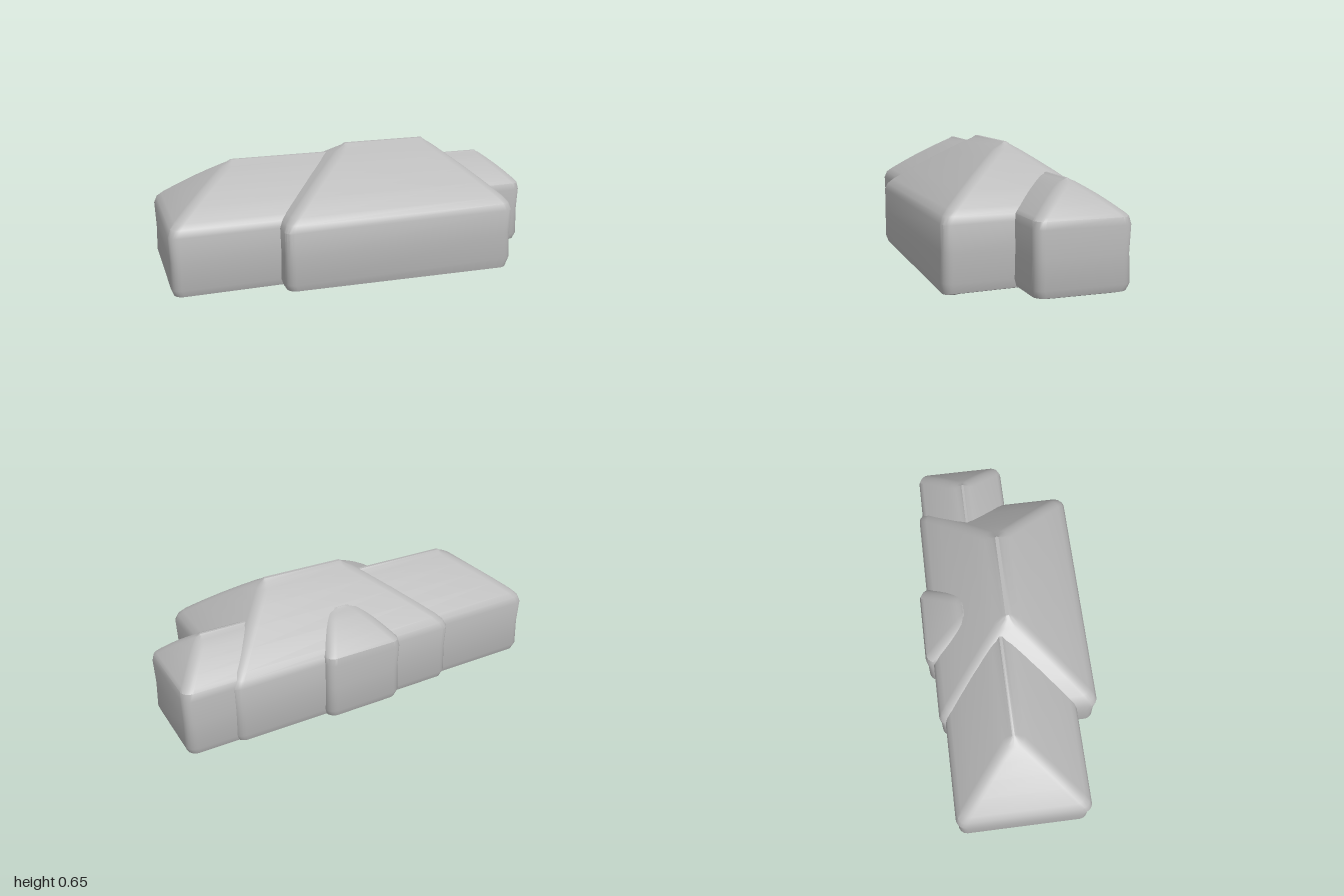
import * as THREE from 'three';
import { mergeVertices, toCreasedNormals } from 'three/addons/utils/BufferGeometryUtils.js';

const EAVE = 0.355, CORNER = 0.045, ARC = 5;

// Rounded rectangle outline, rect = [x0, x1, z0, z1]
function outline([x0, x1, z0, z1]) {
  const r = Math.max(0.001, Math.min(CORNER, (x1 - x0) / 2.1, (z1 - z0) / 2.1));
  const centres = [[x1 - r, z1 - r], [x0 + r, z1 - r], [x0 + r, z0 + r], [x1 - r, z0 + r]];
  const points = [];
  centres.forEach(([cx, cz], q) => {
    for (let i = 0; i <= ARC; i++) {
      const a = (q + i / ARC) * Math.PI / 2;
      points.push([cx + r * Math.cos(a), cz + r * Math.sin(a)]);
    }
  });
  return points;
}

// Walls and hipped roof: stacked outlines that close in on the ridge
function hippedBlock(name, eave, ridge, ridgeY, material) {
  const inset = d => [eave[0] + d, eave[1] - d, eave[2] + d, eave[3] - d];
  const toRidge = t => eave.map((v, i) => THREE.MathUtils.lerp(v, ridge[i], t));
  const levels = [
    [0.02, inset(0.04)], [0.03, inset(0.012)], [0.065, inset(0)],
    [0.2, inset(0.004)], [0.325, inset(0)], [0.36, toRidge(0.035)],
  ];
  for (const t of [0.1, 0.3, 0.5, 0.7, 0.86, 0.95, 0.995]) {
    const round = t > 0.94 ? -0.003 : 0.01 * Math.sin(Math.PI * t);
    levels.push([EAVE + (ridgeY - EAVE) * t + round, toRidge(t)]);
  }

  const positions = [], index = [];
  const n = 4 * (ARC + 1);
  levels.forEach(([y, rect]) => outline(rect).forEach(([x, z]) => positions.push(x, y, z)));
  for (let l = 0; l < levels.length - 1; l++) {
    for (let i = 0; i < n; i++) {
      const a = l * n + i, b = l * n + (i + 1) % n;
      index.push(a, a + n, b, b, a + n, b + n);
    }
  }
  // Flat underside and ridge cap
  const top = (levels.length - 1) * n;
  for (let i = 1; i < n - 1; i++) {
    index.push(0, i, i + 1, top, top + i + 1, top + i);
  }

  // Sagging front corner of the foundation
  for (let i = 0; i < positions.length; i += 3) {
    const d = Math.hypot(positions[i] - 0.69, positions[i + 2] - 0.38);
    if (positions[i + 1] < 0.04) positions[i + 1] -= 0.02 * Math.exp(-d * d / 0.006);
  }

  let geometry = new THREE.BufferGeometry();
  geometry.setAttribute('position', new THREE.Float32BufferAttribute(positions, 3));
  geometry.setIndex(index);
  geometry = toCreasedNormals(mergeVertices(geometry, 1e-4), 0.6);
  const mesh = new THREE.Mesh(geometry, material);
  mesh.name = name;
  return mesh;
}

export function createModel() {
  const grey = new THREE.MeshStandardMaterial({ color: 0xb8b8b8 });
  grey.name = 'plain grey';

  // Blocks as [name, eave rectangle, ridge rectangle, ridge height]
  const blocks = [
    ['rightWing', [-0.985, 0.2, -0.375, 0.3], [-0.62, -0.05, -0.056, -0.044], 0.6],
    ['mainHall', [-0.46, 0.75, -0.405, 0.41], [-0.03, 0.4, -0.012, 0.002], 0.652],
    ['leftWing', [0.15, 0.985, -0.385, 0.078], [0.35, 0.8, -0.15, -0.14], 0.52],
    ['rearBay', [-0.14, 0.28, -0.445, 0.05], [0.02, 0.15, -0.22, -0.1], 0.51],
  ];
  const building = new THREE.Group();
  building.name = 'building';
  for (const [name, eave, ridge, height] of blocks) {
    building.add(hippedBlock(name, eave, ridge, height, grey));
  }
  // The whole plan sits slightly askew
  building.rotation.y = -0.03;

  const model = new THREE.Group();
  model.name = 'hippedRoofBuilding';
  model.add(building);
  return model;
}
